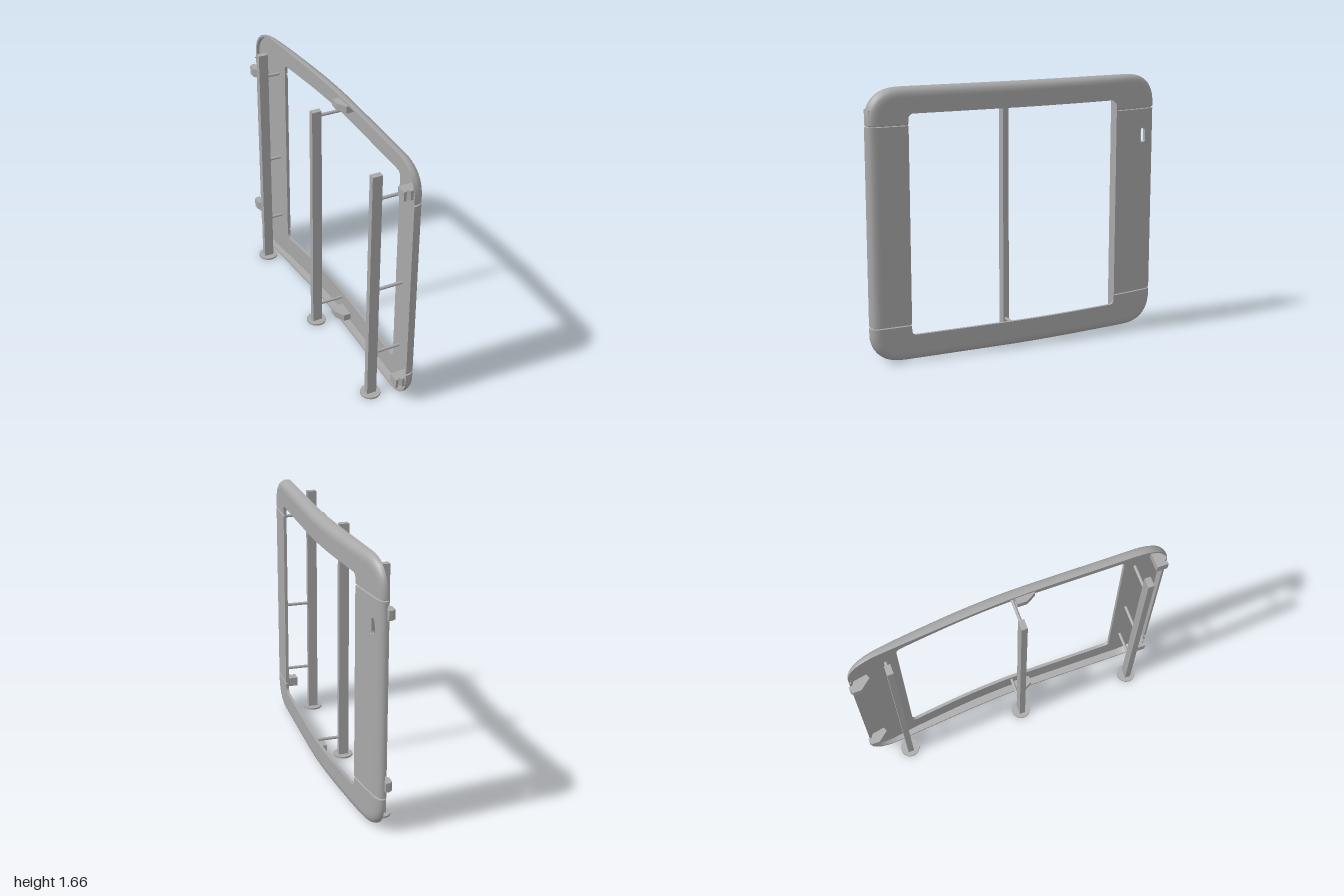
import * as THREE from 'three';
import { toCreasedNormals } from 'three/addons/utils/BufferGeometryUtils.js';

// Outer face and rear rim of the curved panel: x sampled at even z steps from -1.25 to 1.25
const curveOf = xs => new THREE.SplineCurve(xs.map((x, i) => new THREE.Vector2(x, -1.25 + i * 0.25)));
const faceCurve = curveOf([-0.06, 0.008, 0.055, 0.088, 0.114, 0.129, 0.131, 0.131, 0.131, 0.13, 0.13]);
const rimCurve = curveOf([-0.05, -0.025, 0, 0.023, 0.045, 0.061, 0.066, 0.066, 0.066, 0.066, 0.066]);
const faceX = z => faceCurve.getPoint((z + 1.25) / 2.5).x;
const rimX = z => rimCurve.getPoint((z + 1.25) / 2.5).x;

const SHEET = 0.02;            // panel wall thickness
const SIDE_Y = [0.224, 0.227, 0.233, 0.236, 1.215, 1.315, 1.434, 1.437, 1.443, 1.446];
const GROOVE_ROWS = [1, 2, 7, 8];
const CORNER = 12, SPAN = 24;  // points per corner and along top/bottom

// Rounded outline as [z, y, inGroove], always with the same number of points
function outline(z0, z1, y0, y1, rz, ry, power) {
  const pts = [];
  const corner = (cz, cy, start) => {
    for (let i = 0; i < CORNER; i++) {
      const a = start + (i / (CORNER - 1)) * Math.PI / 2;
      const c = Math.cos(a), s = Math.sin(a);
      pts.push([cz + rz * Math.sign(c) * Math.abs(c) ** (2 / power),
        cy + ry * Math.sign(s) * Math.abs(s) ** (2 / power), false]);
    }
  };
  const span = (from, to, y) => {
    for (let i = 1; i < SPAN; i++) pts.push([from + (to - from) * i / SPAN, y, false]);
  };
  const side = SIDE_Y.map((y, i) => [y, GROOVE_ROWS.includes(i)]);
  side.forEach(([y, g]) => pts.push([z1, y, g]));
  corner(z1 - rz, y1 - ry, 0);
  span(z1 - rz, z0 + rz, y1);
  corner(z0 + rz, y1 - ry, Math.PI / 2);
  side.reverse().forEach(([y, g]) => pts.push([z0, y, g]));
  corner(z0 + rz, y0 + ry, Math.PI);
  span(z0 + rz, z1 - rz, y0);
  corner(z1 - rz, y0 + ry, Math.PI * 1.5);
  return pts;
}

const windowLine = outline(-0.68, 0.75, 0.165, 1.505, 0.03, 0.03, 2);
const outerLine = inset => outline(-0.99 + inset, 1 - inset, 0.004 + inset, 1.66 - inset,
  0.22 - inset, 0.2 - inset, 2.4);
const mix = (a, b, s) => a.map((p, i) => [p[0] + (b[i][0] - p[0]) * s, p[1] + (b[i][1] - p[1]) * s, p[2]]);

// Hollow curved frame: rings run from the window, over the face, round the rim and back inside
function frameGeometry() {
  const steps = [0, 0.25, 0.5, 0.75, 0.904, 1];
  const rings = [];
  const add = (line, depth, grooved) => rings.push(line.map(([z, y, g]) =>
    [faceX(z) - depth(z) - (grooved && g ? 0.011 : 0), y, z - (grooved === 2 && g ? 0.01 * Math.sign(z) : 0)]));
  const rimDepth = z => faceX(z) - rimX(z);
  const shoulder = outerLine(0.05);
  steps.forEach(s => add(mix(windowLine, shoulder, s), () => 0, 1));
  [[0.03, 0.06], [0.015, 0.2], [0.005, 0.45], [0, 0.7], [0, 1]].forEach(([inset, f], i) =>
    add(outerLine(inset), z => rimDepth(z) * f, i < 2 ? 1 : 2));
  add(outerLine(0.013), rimDepth, 0);
  add(outerLine(0.015), () => SHEET, 0);
  const backStart = rings.length;
  [...steps].reverse().forEach(s => add(mix(windowLine, shoulder, s), () => SHEET, 0));

  const n = windowLine.length;
  const holeCell = SIDE_Y.length + CORNER + SPAN - 1 + CORNER + 4;
  const index = [];
  rings.forEach((ring, r) => {
    const next = (r + 1) % rings.length;
    for (let j = 0; j < n; j++) {
      if (j === holeCell && (r === 3 || r === backStart + 1)) continue; // handle slot opening
      const k = (j + 1) % n;
      const a = r * n + j, b = r * n + k, c = next * n + k, d = next * n + j;
      index.push(a, b, c, a, c, d);
    }
  });
  const g = new THREE.BufferGeometry();
  g.setAttribute('position', new THREE.Float32BufferAttribute(rings.flat(2), 3));
  g.setIndex(index);
  return toCreasedNormals(g, 0.6);
}

// Upright prism from an [x, z] footprint
function prism(points, height) {
  const shape = new THREE.Shape(points.map(([x, z]) => new THREE.Vector2(x, -z)));
  const g = new THREE.ExtrudeGeometry(shape, { depth: height, bevelEnabled: false });
  return g.rotateX(-Math.PI / 2).translate(0, -height / 2, 0);
}

export function createModel() {
  const model = new THREE.Group();
  const grey = new THREE.MeshStandardMaterial({ color: 0xa8a8a8 });
  grey.name = 'plain grey';
  const add = (name, geometry, x = 0, y = 0, z = 0, parent = model) => {
    const m = new THREE.Mesh(geometry, grey);
    m.name = name;
    m.position.set(x, y, z);
    parent.add(m);
    return m;
  };

  add('panelFrame', frameGeometry());

  // Rounded trim that lines the handle slot
  const trim = new THREE.Shape([[-0.022, -0.052], [0.022, -0.052], [0.022, 0.052], [-0.022, 0.052]]
    .map(p => new THREE.Vector2(...p)));
  const slot = new THREE.Path();
  slot.absarc(0, 0.03, 0.018, 0, Math.PI);
  slot.absarc(0, -0.03, 0.018, Math.PI, Math.PI * 2);
  slot.closePath();
  trim.holes.push(slot);
  const slotTrim = add('handleSlot', new THREE.ExtrudeGeometry(trim, { depth: 0.021, bevelEnabled: false, curveSegments: 10 }),
    faceX(-0.895) - 0.021, 1.265, -0.895);
  slotTrim.rotation.y = Math.PI / 2 + 0.18;

  // Stands: post, round foot and rods reaching the back of the panel
  const stands = [
    ['rearStand', -0.755, [0.315, 0.785, 1.415]],
    ['middleStand', 0.045, [0.13, 1.54]],
    ['frontStand', 0.82, [0.315, 0.785, 1.415]],
  ];
  for (const [name, z, rodHeights] of stands) {
    const stand = new THREE.Group();
    stand.name = name;
    model.add(stand);
    add('post', new THREE.BoxGeometry(0.062, 1.57, 0.038), -0.076, 0.79, z, stand);
    add('foot', new THREE.CylinderGeometry(0.062, 0.062, 0.012, 32), -0.076, 0.006, z, stand);
    const end = faceX(z) - SHEET + 0.005, length = end + 0.05;
    for (const y of rodHeights) {
      add('rod', new THREE.CylinderGeometry(0.01, 0.01, length, 14).rotateZ(Math.PI / 2), end - length / 2, y, z, stand);
    }
  }

  // Hinges, wedge brackets and latch blocks, in upper and lower pairs
  const hinge = prism([[-0.07, -0.985], [-0.07, -0.935], [-0.015, -0.87], [0.012, -0.88],
    [0.005, -0.96], [-0.025, -0.975], [-0.03, -1], [-0.05, -1]], 0.057);
  const bracket = prism([[0.112, 0.05], [0.03, 0.05], [0.03, 0.11], [0.064, 0.17], [0.112, 0.17]], 0.045);
  const latch = prism([[0.112, 0.91], [0.01, 0.91], [0.01, 0.98], [0.025, 0.98], [0.035, 0.965],
    [0.05, 0.985], [0.112, 0.985]], 0.06);
  for (const y of [0.307, 1.357]) add('hinge', hinge, 0, y);
  for (const y of [0.055, 1.61]) add('wedgeBracket', bracket, 0, y);
  for (const y of [0.163, 1.503]) add('latchBlock', latch, 0, y);

  return model;
}
